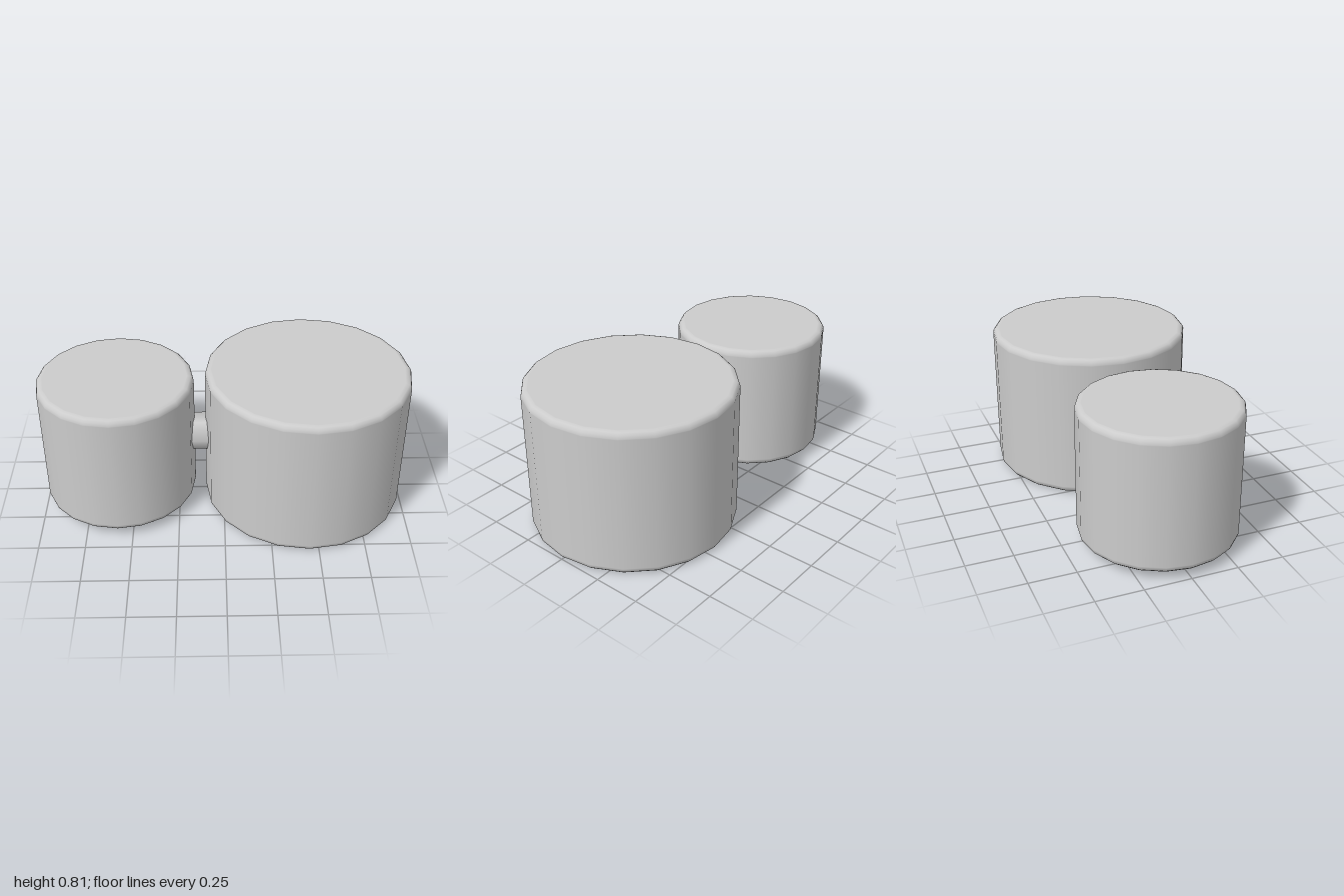
import * as THREE from 'three';

const material = new THREE.MeshStandardMaterial({ color: 0xcccccc });

// Twenty-sided drum with softly rounded rims, standing on y = bottom
function drum(name, x, radius, bottom, top) {
  const bevel = 0.03, steps = 3;
  const points = [new THREE.Vector2(0, bottom), new THREE.Vector2(radius - bevel - 0.005, bottom)];
  const rim = (cy, start) => {
    for (let i = 0; i <= steps; i++) {
      const a = start + (i / steps) * Math.PI / 2;
      points.push(new THREE.Vector2(radius - bevel + bevel * Math.cos(a), cy + bevel * Math.sin(a)));
    }
  };
  rim(bottom + bevel, -Math.PI / 2);
  // Extra rings keep the wall shading straight
  points.push(new THREE.Vector2(radius, bottom + bevel + 0.005));
  points.push(new THREE.Vector2(radius, top - bevel - 0.005));
  rim(top - bevel, 0);
  points.push(new THREE.Vector2(radius - bevel - 0.005, top), new THREE.Vector2(0, top));
  const mesh = new THREE.Mesh(new THREE.LatheGeometry(points, 20), material);
  mesh.name = name;
  mesh.position.x = x;
  return mesh;
}

export function createModel() {
  const model = new THREE.Group();
  model.name = 'linkedDrums';
  model.add(drum('largeDrum', 0.45, 0.55, 0, 0.805));
  model.add(drum('smallDrum', -0.58, 0.42, 0.045, 0.765));

  // Six-sided pin joining the drums, its ends sunk into both
  const pin = new THREE.Mesh(new THREE.CylinderGeometry(0.103, 0.103, 0.2, 6), material);
  pin.name = 'connectingPin';
  pin.rotation.z = Math.PI / 2;
  pin.position.set(-0.13, 0.405, 0);
  model.add(pin);
  return model;
}
